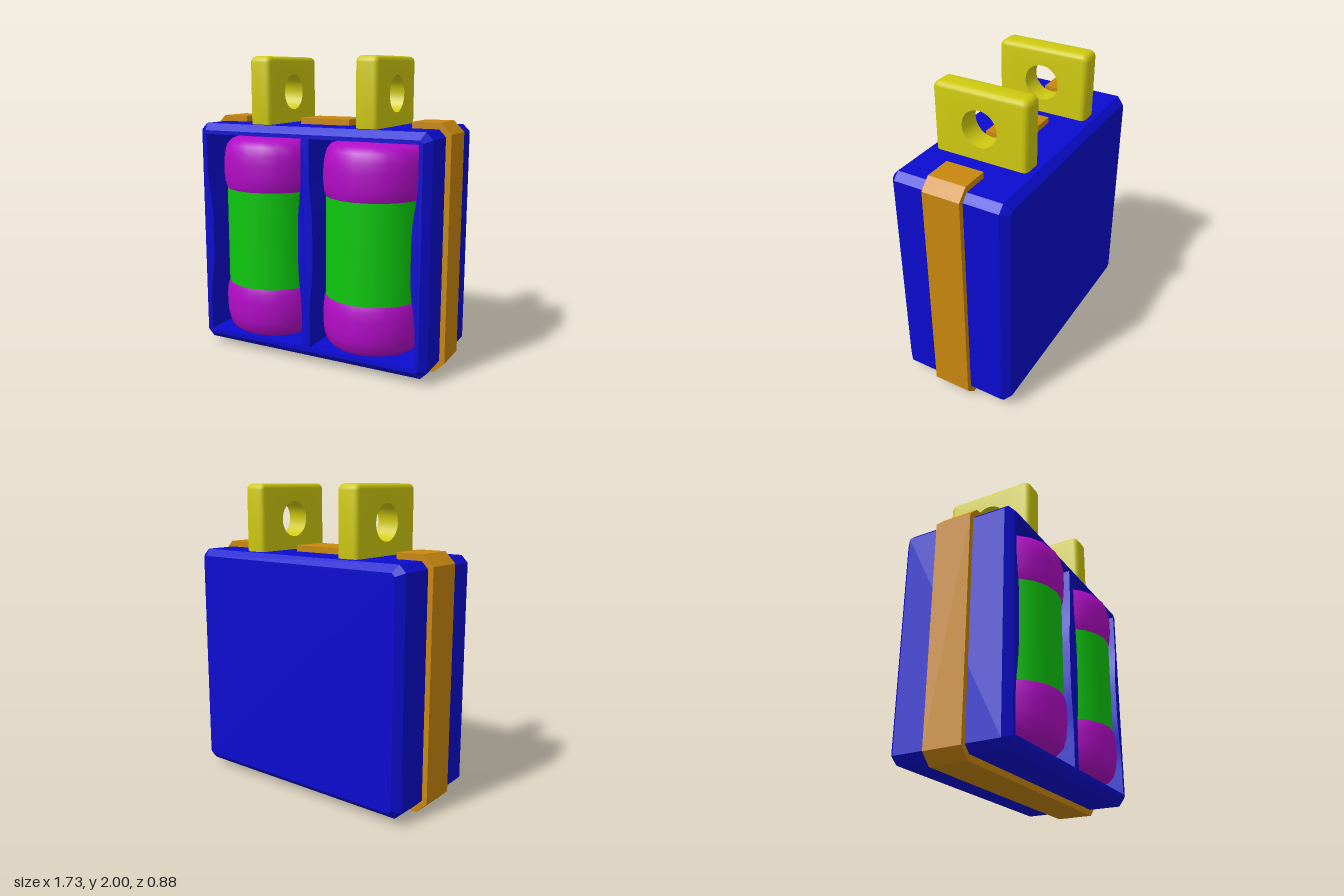
import * as THREE from 'three';
import { mergeGeometries, toCreasedNormals } from 'three/addons/utils/BufferGeometryUtils.js';

const V = (x, y) => new THREE.Vector2(x, y);
const mat = (color) => new THREE.MeshStandardMaterial({ color });
const blue = mat(0x0b0bd0), orange = mat(0xc8870f), yellow = mat(0xcfca10);
const purple = mat(0xb30cc8), green = mat(0x0ec80e);

function add(parent, name, geometry, material) {
  const mesh = new THREE.Mesh(geometry, material);
  mesh.name = name;
  parent.add(mesh);
  return mesh;
}

// Counter-clockwise rectangle outline; seg = 1 chamfers the corners, more rounds them
function outline(hw, y0, y1, r, seg) {
  const pts = [];
  const corners = [[hw - r, y0 + r], [hw - r, y1 - r], [r - hw, y1 - r], [r - hw, y0 + r]];
  corners.forEach(([cx, cy], k) => {
    for (let i = 0; i <= seg; i++) {
      const a = (k - 1 + i / seg) * Math.PI / 2;
      pts.push(V(cx + r * Math.cos(a), cy + r * Math.sin(a)));
    }
  });
  return pts;
}

// Skin between equal-length outlines placed at the given depths
function loft(rings) {
  const pos = [];
  for (let i = 0; i + 1 < rings.length; i++) {
    const [p, z0] = rings[i], [q, z1] = rings[i + 1];
    for (let j = 0; j < p.length; j++) {
      const k = (j + 1) % p.length;
      const a = [p[j].x, p[j].y, z0], b = [p[k].x, p[k].y, z0];
      const c = [q[k].x, q[k].y, z1], d = [q[j].x, q[j].y, z1];
      pos.push(...a, ...b, ...c, ...a, ...c, ...d);
    }
  }
  const g = new THREE.BufferGeometry();
  g.setAttribute('position', new THREE.Float32BufferAttribute(pos, 3));
  return g;
}

// Flat face with optional holes, facing front or back (outlines symmetric in x when facing back)
function face(pts, z, holes = [], back = false) {
  const shape = new THREE.Shape(pts);
  shape.holes = holes.map((h) => new THREE.Path(h));
  const g = new THREE.ShapeGeometry(shape).toNonIndexed();
  if (back) g.rotateY(Math.PI);
  g.translate(0, 0, z);
  return g;
}

function join(parts, crease) {
  for (const g of parts) {
    g.deleteAttribute('uv');
    g.deleteAttribute('normal');
  }
  const g = mergeGeometries(parts);
  g.computeVertexNormals();
  return toCreasedNormals(g, crease);
}

// Pocket outline whose side walls swell inward at mid height
function pocket(side) {
  const n = 20, right = [], left = [];
  for (let i = 0; i <= n; i++) {
    const y = 0.115 + (1.375 * i) / n;
    const swell = Math.exp(-Math.pow((y - 0.8) / 0.33, 4));
    right.push(V(side * (0.76 - 0.035 * swell), y));
    left.push(V(side * (0.028 + 0.025 * swell), y));
  }
  const pts = [...right, ...left.reverse()];
  return side > 0 ? pts : pts.reverse();
}

function housing() {
  const outer = outline(0.83, 0.04, 1.56, 0.045, 1);
  const inner = outline(0.785, 0.085, 1.515, 0.02, 1);
  const pockets = [pocket(1), pocket(-1)];
  const parts = [
    loft([[inner, -0.44], [outer, -0.395], [outer, 0.305], [inner, 0.35]]),
    face(inner, -0.44, [], true),
    face(inner, 0.35, pockets),
  ];
  for (const p of pockets) parts.push(loft([[p, 0.35], [p, -0.25]]), face(p, -0.25));
  return join(parts, 0.3);
}

// Lug plate with softened edges and a round through-hole
function lug() {
  const b = 0.03, w = 0.075, steps = 3, back = [], front = [];
  for (let i = 0; i <= steps; i++) {
    const a = (i / steps) * Math.PI / 2;
    const d = b * (1 - Math.sin(a)), z = w - b * (1 - Math.cos(a));
    const ring = outline(0.3125 - d, 1.5 + d, 2 - d, 0.042 - d, 4);
    back.push([ring, -z]);
    front.unshift([ring, z]);
  }
  const hole = new THREE.Path().absarc(0, 1.765, 0.118, 0, Math.PI * 2).getPoints(16).slice(0, -1);
  const rim = back[0][0];
  const g = join([
    loft([...back, ...front]),
    face(rim, -w, [hole], true),
    face(rim, w, [hole]),
    loft([[hole, w], [hole, -w]]),
  ], 0.7);
  return g.rotateY(Math.PI / 2);
}

// Strap wrapping the sides and bottom, with hooked ends on top
function strap() {
  const half = [[0.61, 1.6], [0.795, 1.6], [0.865, 1.53], [0.865, 0.07], [0.795, 0]];
  const inside = [[0.775, 0.05], [0.815, 0.09], [0.815, 1.51], [0.775, 1.55], [0.61, 1.55]];
  const flip = (list) => list.map(([x, y]) => [-x, y]).reverse();
  const pts = [...half, ...flip(half), ...flip(inside), ...inside];
  const shape = new THREE.Shape(pts.map(([x, y]) => V(x, y)));
  return new THREE.ExtrudeGeometry(shape, { depth: 0.25, bevelEnabled: false }).translate(0, 0, -0.165);
}

export function createModel() {
  const model = new THREE.Group();
  model.name = 'twinCellPack';

  add(model, 'housing', housing(), blue);
  add(model, 'strap', strap(), orange);
  add(model, 'strapTopPiece', new THREE.BoxGeometry(0.36, 0.06, 0.25), orange).position.set(0, 1.57, -0.04);

  // Cap profile, from its open edge up to the flat end, about the cell's middle
  const profile = [[0.322, 0.325], [0.334, 0.36], [0.34, 0.42], [0.34, 0.5], [0.334, 0.56],
    [0.318, 0.62], [0.285, 0.655], [0.2, 0.68], [0, 0.683]].map(([x, y]) => V(x, y));
  const capGeometry = new THREE.LatheGeometry(profile, 20);
  const tubeGeometry = new THREE.CylinderGeometry(0.322, 0.322, 0.68, 20, 1, true);
  const lugGeometry = lug();

  for (const side of [1, -1]) {
    const label = side > 0 ? 'left' : 'right';
    const cell = new THREE.Group();
    cell.name = label + 'Cell';
    cell.position.set(side * 0.381, 0.805, 0.1);
    add(cell, 'cellTube', tubeGeometry, green);
    add(cell, 'upperCap', capGeometry, purple);
    add(cell, 'lowerCap', capGeometry, purple).rotation.x = Math.PI;
    model.add(cell);

    add(model, label + 'Lug', lugGeometry, yellow).position.set(side * 0.381, 0, -0.0425);
  }
  return model;
}
